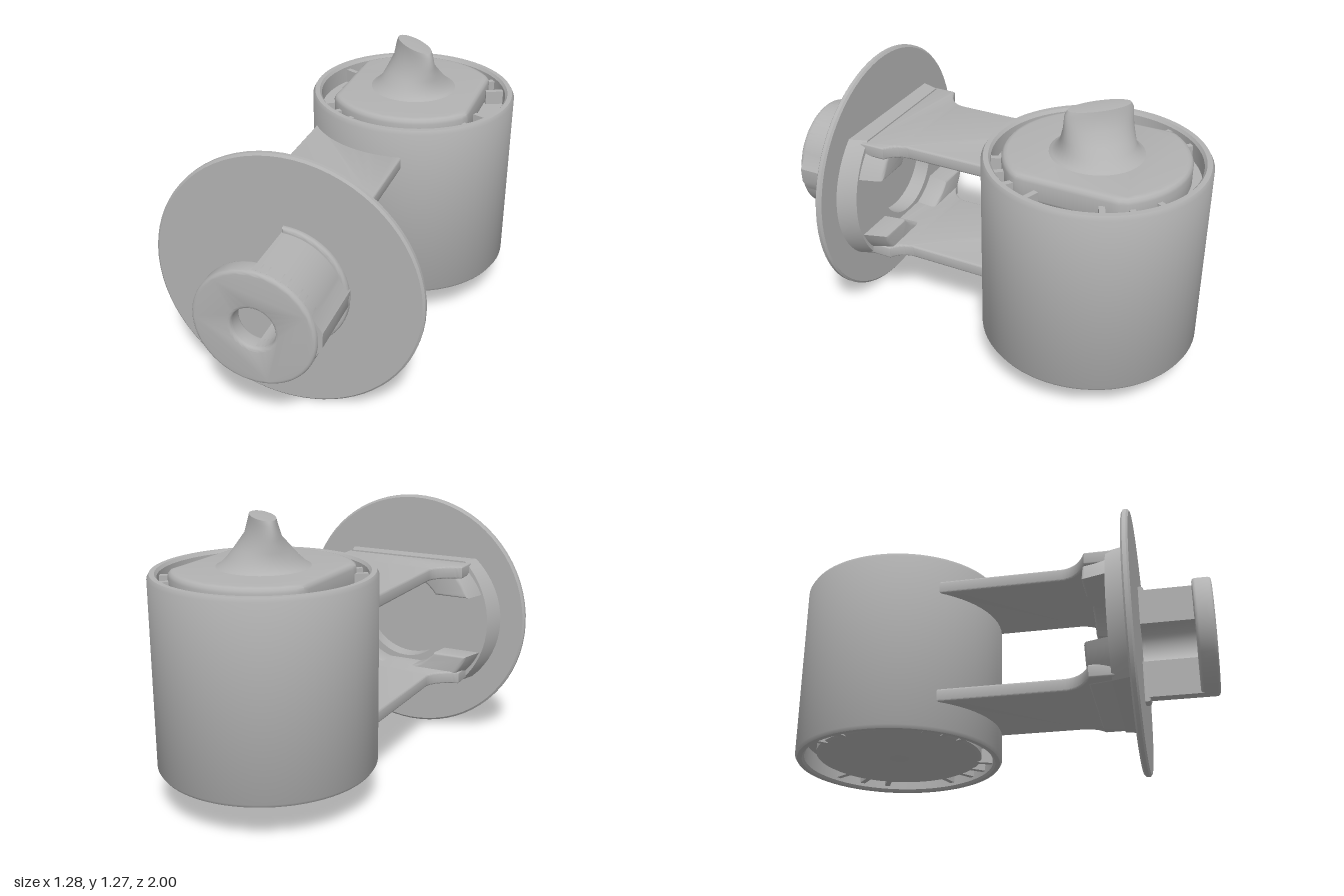
import * as THREE from 'three';
import { toCreasedNormals } from 'three/addons/utils/BufferGeometryUtils.js';

const grey = new THREE.MeshStandardMaterial({ color: 0xb2b2b2 });
grey.name = 'grey';

const BX = 0.15, BZ = -0.51;   // barrel axis
const FX = -0.035, FY = 0.607; // flange axis

const arc = (r, a0, a1, n, cx = 0, cy = 0) => Array.from({ length: n + 1 }, (_, i) => {
  const a = a0 + (a1 - a0) * i / n;
  return new THREE.Vector2(cx + r * Math.cos(a), cy + r * Math.sin(a));
});
const circle = (r) => new THREE.Path(arc(r, 0, Math.PI * 2, 40));
const lathe = (pts, seg = 64) =>
  new THREE.LatheGeometry(pts.map(([r, y]) => new THREE.Vector2(r, y)), seg);
const extrude = (shape, depth, bevel = 0) => new THREE.ExtrudeGeometry(shape, {
  depth: depth - 2 * bevel, curveSegments: 24, bevelEnabled: bevel > 0,
  bevelSize: bevel, bevelThickness: bevel, bevelOffset: -bevel, bevelSegments: 3,
}).translate(0, 0, bevel);

// Widen or narrow a geometry in x as z runs from 0 to depth
function taperX(geo, depth, end) {
  const p = geo.attributes.position;
  for (let i = 0; i < p.count; i++) {
    p.setX(i, p.getX(i) * (1 + (end - 1) * p.getZ(i) / depth));
  }
  return geo;
}

export function createModel() {
  const model = new THREE.Group();
  const add = (parent, name, geo, x = 0, y = 0, z = 0, crease = 0.6) => {
    const mesh = new THREE.Mesh(toCreasedNormals(geo, crease), grey);
    mesh.name = name;
    mesh.position.set(x, y, z);
    parent.add(mesh);
    return mesh;
  };

  // Barrel with a groove inside each rim
  const barrel = new THREE.Group();
  barrel.name = 'barrel';
  barrel.position.set(BX, 0, BZ);
  model.add(barrel);
  add(barrel, 'barrelShell', lathe([
    [0, 0.19], [0.05, 0.2], [0.37, 0.2], [0.39, 0.21], [0.39, 0.27], [0.445, 0.27],
    [0.445, 0.185], [0.455, 0.175], [0.477, 0.175], [0.487, 0.19], [0.487, 1.025],
    [0.477, 1.043], [0.455, 1.043], [0.445, 1.03], [0.445, 0.95], [0, 0.95],
  ], 72));

  // Lid with two flattened sides
  const lidShape = new THREE.Shape(arc(0.4, 0, Math.PI * 2, 64).slice(0, -1)
    .map((p) => p.set(THREE.MathUtils.clamp(p.x, -0.325, 0.325), p.y)));
  add(barrel, 'lid', extrude(lidShape, 0.12, 0.025).rotateX(-Math.PI / 2), 0, 0.94, 0);

  // Small ribs bridging the grooves
  for (const y of [0.98, 0.235]) {
    for (const deg of [20, 38, 52, 68, 118, 132, 146, 205, 225, 300, 318, 335]) {
      const a = deg * Math.PI / 180;
      const rib = add(barrel, 'grooveRib', new THREE.BoxGeometry(0.09, 0.07, 0.025),
        0.405 * Math.cos(a), y, 0.405 * Math.sin(a));
      rib.rotation.y = -a;
    }
  }

  // Knob: a cone pinched into a diagonal ridge
  const knob = lathe([[0.24, 1.045], [0.19, 1.065], [0.165, 1.1], [0.16, 1.14], [0.155, 1.19],
    [0.152, 1.25], [0.14, 1.27], [0, 1.275]], 40);
  const kp = knob.attributes.position;
  for (let i = 0; i < kp.count; i++) {
    const t = THREE.MathUtils.smoothstep(kp.getY(i), 1.06, 1.24);
    kp.setZ(i, kp.getZ(i) * (1 - 0.65 * t));
  }
  add(barrel, 'knob', knob.rotateY(-Math.PI / 4), 0, 0, 0, 0.9);

  // Two flat arms that end along the barrel wall and flare at the flange
  const armShape = new THREE.Shape();
  armShape.moveTo(-0.245, -0.24);
  for (let i = 0; i <= 12; i++) {
    const x = -0.245 + 0.485 * i / 12;
    armShape.lineTo(x, BZ + Math.sqrt(0.47 ** 2 - (x - BX) ** 2));
  }
  armShape.lineTo(0.24, 0.36);
  armShape.quadraticCurveTo(0.245, 0.43, 0.3, 0.46);
  armShape.lineTo(0.3, 0.58);
  armShape.lineTo(-0.37, 0.58);
  armShape.lineTo(-0.37, 0.46);
  armShape.quadraticCurveTo(-0.25, 0.42, -0.245, 0.34);
  armShape.closePath();
  for (const [name, y] of [['upperArm', 0.91], ['lowerArm', 0.37]]) {
    add(model, name, extrude(armShape, 0.06, 0.008).rotateX(Math.PI / 2), 0, y, 0);
  }

  // Lugs joining the arms to the flange, arched over a central recess
  const lugEdge = Math.asin(0.15 / 0.4), lugTop = Math.asin(0.3 / 0.4);
  const lug = new THREE.Shape([
    ...arc(0.4, lugEdge, lugTop, 6), ...arc(0.4, Math.PI - lugTop, Math.PI - lugEdge, 6),
    ...arc(0.25, Math.PI - Math.asin(0.6), Math.asin(0.6), 16),
  ]);
  for (const s of [1, -1]) {
    const geo = taperX(extrude(lug, 0.12, 0.012), 0.12, 1.1);
    if (s < 0) geo.rotateZ(Math.PI);
    add(model, s > 0 ? 'upperLug' : 'lowerLug', geo, FX, FY, 0.45);
  }

  // Base behind the flange, cut flat above and below
  const baseTop = Math.asin(0.31 / 0.44);
  const base = new THREE.Shape([
    ...arc(0.44, -baseTop, baseTop, 16), ...arc(0.44, Math.PI - baseTop, Math.PI + baseTop, 16),
  ]);
  base.holes.push(circle(0.22));
  add(model, 'flangeBase', taperX(extrude(base, 0.09), 0.09, 1.1), FX, FY, 0.555);

  // Round flange
  add(model, 'flange', lathe([[0, -0.016], [0.595, -0.016], [0.605, -0.008], [0.605, 0.008],
    [0.595, 0.016], [0, 0.016]], 72).rotateX(Math.PI / 2), FX, FY, 0.654);

  // Half hub that carries the front plate on one side
  const R = 0.268, r = 0.095;
  const half = new THREE.Shape([
    ...arc(R, -Math.PI / 2, -0.3, 18), new THREE.Vector2(0.285, -0.03),
    new THREE.Vector2(0.288, 0.04), ...arc(R, 0.36, Math.PI / 2, 18),
    ...arc(r, Math.PI / 2, -Math.PI / 2, 16),
  ]);
  add(model, 'hub', extrude(half, 0.32), FX, FY, 0.66);
  const foot = new THREE.Shape([
    ...arc(R + 0.02, -Math.PI / 2, Math.PI / 2, 32), ...arc(r, Math.PI / 2, -Math.PI / 2, 16),
  ]);
  add(model, 'hubFoot', extrude(foot, 0.035, 0.012), FX, FY, 0.66);

  // Front plate with its bore
  const plate = new THREE.Shape(arc(R, 0, Math.PI * 2, 56));
  plate.holes.push(circle(r));
  add(model, 'frontPlate', extrude(plate, 0.085, 0.014), FX, FY, 0.915);

  return model;
}
